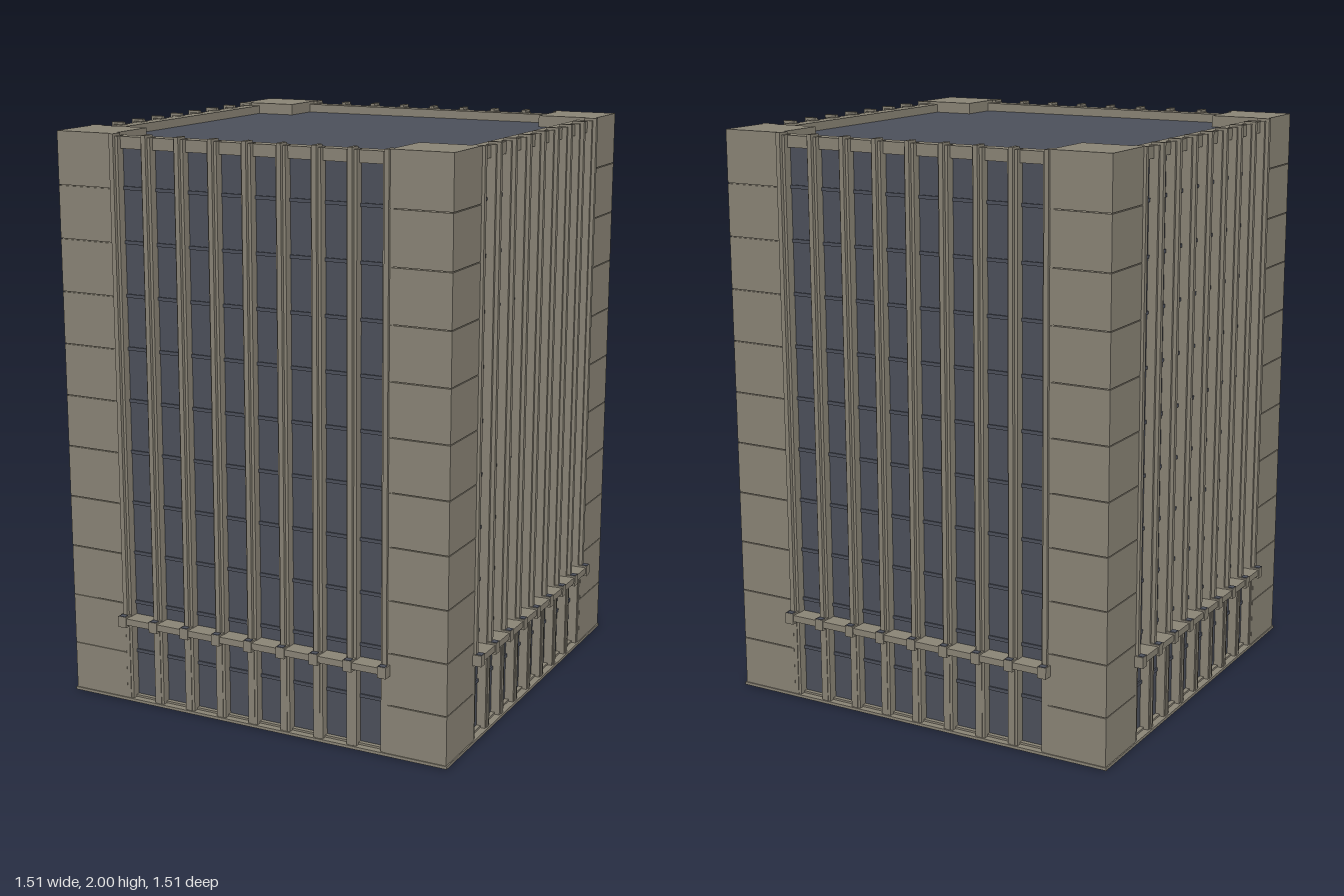
import * as THREE from 'three';

const stone = new THREE.MeshStandardMaterial({ color: 0x8a8476 });
stone.name = 'stone';
const glass = new THREE.MeshStandardMaterial({ color: 0x4c505b });
glass.name = 'darkGlass';

// Box given by its lower and upper corners
function box(parent, name, mat, x0, x1, y0, y1, z0, z1) {
  const mesh = new THREE.Mesh(new THREE.BoxGeometry(x1 - x0, y1 - y0, z1 - z0), mat);
  mesh.position.set((x0 + x1) / 2, (y0 + y1) / 2, (z0 + z1) / 2);
  mesh.name = name;
  parent.add(mesh);
  return mesh;
}

const H = 2, FLOORS = 11, STEP = H / FLOORS;
const IN = 0.51, OUT = 0.725, BAY = 0.126;

// One corner pier: stacked blocks with fine recessed joints
function cornerPier() {
  const g = new THREE.Group();
  g.name = 'cornerPier';
  const gap = 0.003;
  box(g, 'pierCore', stone, IN, OUT - 0.004, 0.001, H - 0.01, IN, OUT - 0.004);
  for (let i = 0; i < FLOORS; i++) {
    const y0 = i === 0 ? 0.001 : i * STEP + gap / 2;
    const y1 = i === FLOORS - 1 ? H : (i + 1) * STEP - gap / 2;
    box(g, 'pierBlock', stone, IN, OUT, y0, y1, IN, OUT);
  }
  return g;
}

// One facade facing +z
function facade() {
  const g = new THREE.Group();
  g.name = 'facade';
  box(g, 'windowWall', glass, -IN, IN, 0.01, 1.95, 0.6, 0.69);
  box(g, 'parapet', stone, -IN, IN, 1.95, 1.99, 0.655, 0.69);
  box(g, 'topSpandrel', stone, -IN, IN, 1.95, 1.99, 0.688, 0.705);
  box(g, 'sill', stone, -IN, IN, 0.001, 0.018, 0.688, 0.705);
  box(g, 'ledge', stone, -0.512, 0.512, 0.295, 0.318, 0.69, 0.752);

  // Floor lines across the glass
  for (let i = 1; i < FLOORS; i++) {
    box(g, 'floorLine', glass, -IN, IN, i * STEP - 0.006, i * STEP + 0.006, 0.688, 0.695);
  }

  // Mullions with a slim fin above the ledge and a bracket at the ledge
  for (let i = -4; i <= 4; i++) {
    const x = i * BAY;
    const w = 0.018;
    box(g, 'mullion', stone, x - w, x + w, 0.001, 1.992, 0.688, 0.722);
    box(g, 'mullionFin', stone, x - 0.008, x + 0.008, 0.3, H, 0.69, 0.735);
    box(g, 'lowerFin', stone, x - 0.008, x + 0.008, 0.001, 0.3, 0.69, 0.7245);
    box(g, 'bracket', stone, x - 0.016, x + 0.016, 0.285, 0.324, 0.7, 0.756);
    box(g, 'bracketCap', glass, x - 0.012, x + 0.012, 0.324, 0.326, 0.735, 0.755);
  }
  return g;
}

export function createModel() {
  const model = new THREE.Group();
  model.name = 'officeTower';

  // Four identical sides and corners
  for (let i = 0; i < 4; i++) {
    const side = new THREE.Group();
    side.name = 'towerSide';
    side.add(facade(), cornerPier());
    side.rotation.y = i * Math.PI / 2;
    model.add(side);
  }

  // Cross-shaped roof, sunk behind the parapet
  box(model, 'roof', glass, -0.655, 0.655, 1.9, 1.96, -IN, IN);
  box(model, 'roofWing', glass, -IN, IN, 1.9, 1.96, 0.4, 0.655);
  box(model, 'roofWing', glass, -IN, IN, 1.9, 1.96, -0.655, -0.4);

  // Base plate and dark underside
  box(model, 'basePlate', stone, -0.729, 0.729, 0.001, 0.011, -0.729, 0.729);
  box(model, 'underside', glass, -0.65, 0.65, 0, 0.005, -0.65, 0.65);
  return model;
}
